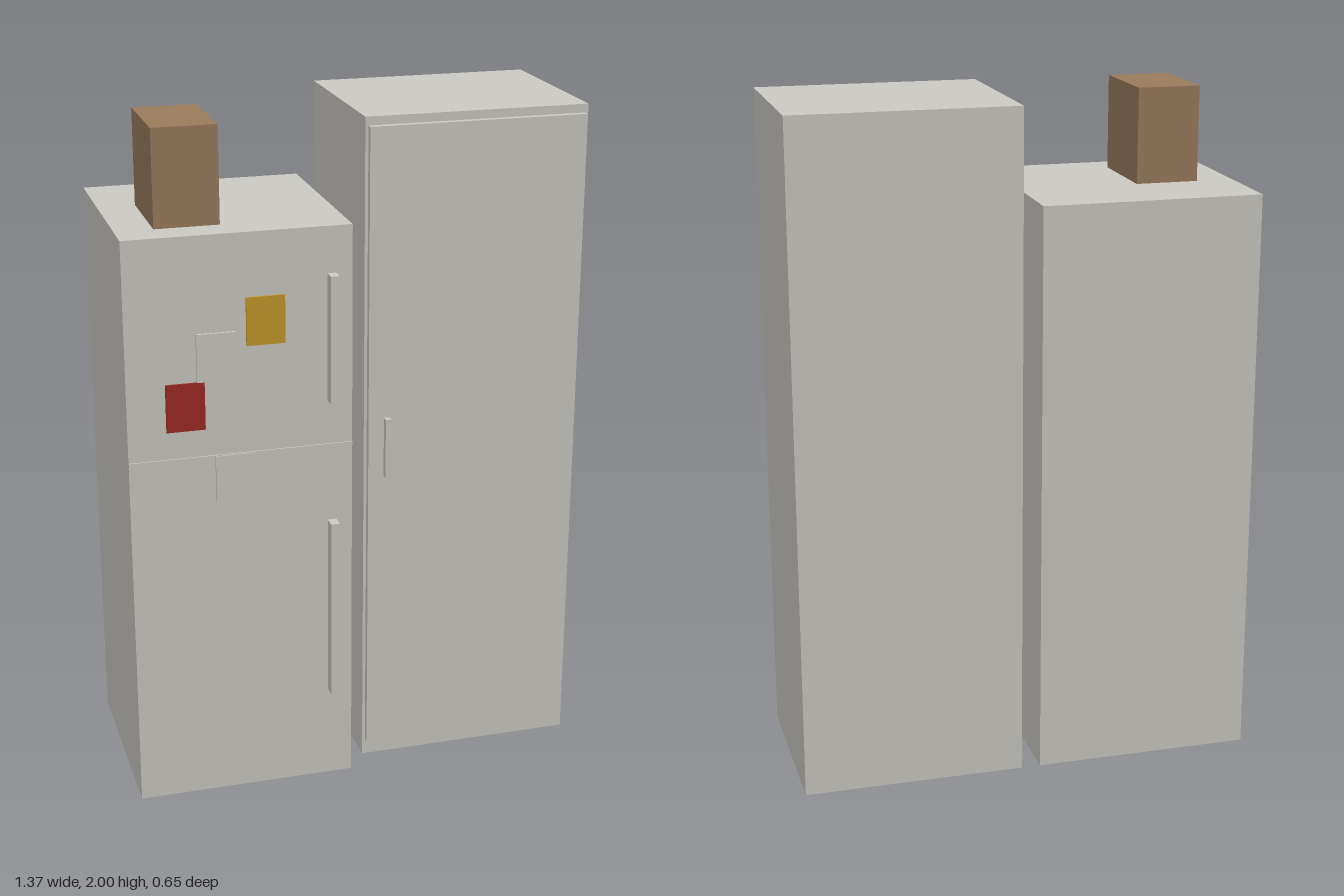
import * as THREE from 'three';

const material = (name, color) => {
  const m = new THREE.MeshStandardMaterial({ color });
  m.name = name;
  return m;
};

// Box given by its limits along each axis
function block(parent, name, mat, [x0, x1], [y0, y1], [z0, z1]) {
  const mesh = new THREE.Mesh(new THREE.BoxGeometry(x1 - x0, y1 - y0, z1 - z0), mat);
  mesh.position.set((x0 + x1) / 2, (y0 + y1) / 2, (z0 + z1) / 2);
  mesh.name = name;
  parent.add(mesh);
  return mesh;
}

export function createModel() {
  const grey = material('warm grey enamel', 0xcbc9c2);
  const brown = material('cardboard brown', 0x997b5b);
  const red = material('note red', 0x9c2a22);
  const yellow = material('note yellow', 0xc4982a);

  const model = new THREE.Group();
  model.name = 'fridgeAndCabinet';

  // Fridge with a raised seam between its two doors
  const fridge = new THREE.Group();
  fridge.name = 'fridge';
  const front = 0.287;
  block(fridge, 'fridgeBody', grey, [-0.685, -0.035], [0, 1.72], [-0.326, front]);
  block(fridge, 'doorSeam', grey, [-0.685, -0.035], [1.066, 1.078], [front - 0.005, 0.291]);
  block(fridge, 'upperHandle', grey, [-0.108, -0.082], [1.21, 1.585], [front, 0.325]);
  block(fridge, 'lowerHandle', grey, [-0.108, -0.082], [0.285, 0.84], [front, 0.325]);

  // Paper notes stuck on the doors: left edge, bottom edge, colour
  const notes = [
    ['redNote', red, -0.575, 1.16],
    ['yellowNote', yellow, -0.342, 1.395],
    ['upperPlainNote', grey, -0.485, 1.3],
    ['lowerPlainNote', grey, -0.437, 0.935],
  ];
  for (const [name, mat, x, y] of notes) {
    block(fridge, name, mat, [x, x + 0.111], [y, y + 0.14], [front, 0.294]);
  }

  // Carton standing on the fridge
  block(fridge, 'carton', brown, [-0.575, -0.389], [1.72, 2], [-0.086, 0.193]);

  // Tall cabinet with a single door
  const cabinet = new THREE.Group();
  cabinet.name = 'cabinet';
  block(cabinet, 'cabinetBody', grey, [0.022, 0.682], [0, 2], [-0.326, 0.213]);
  block(cabinet, 'cabinetDoor', grey, [0.031, 0.673], [0.05, 1.975], [0.213, 0.231]);
  block(cabinet, 'cabinetHandle', grey, [0.078, 0.095], [0.935, 1.117], [0.231, 0.25]);

  model.add(fridge, cabinet);
  return model;
}
